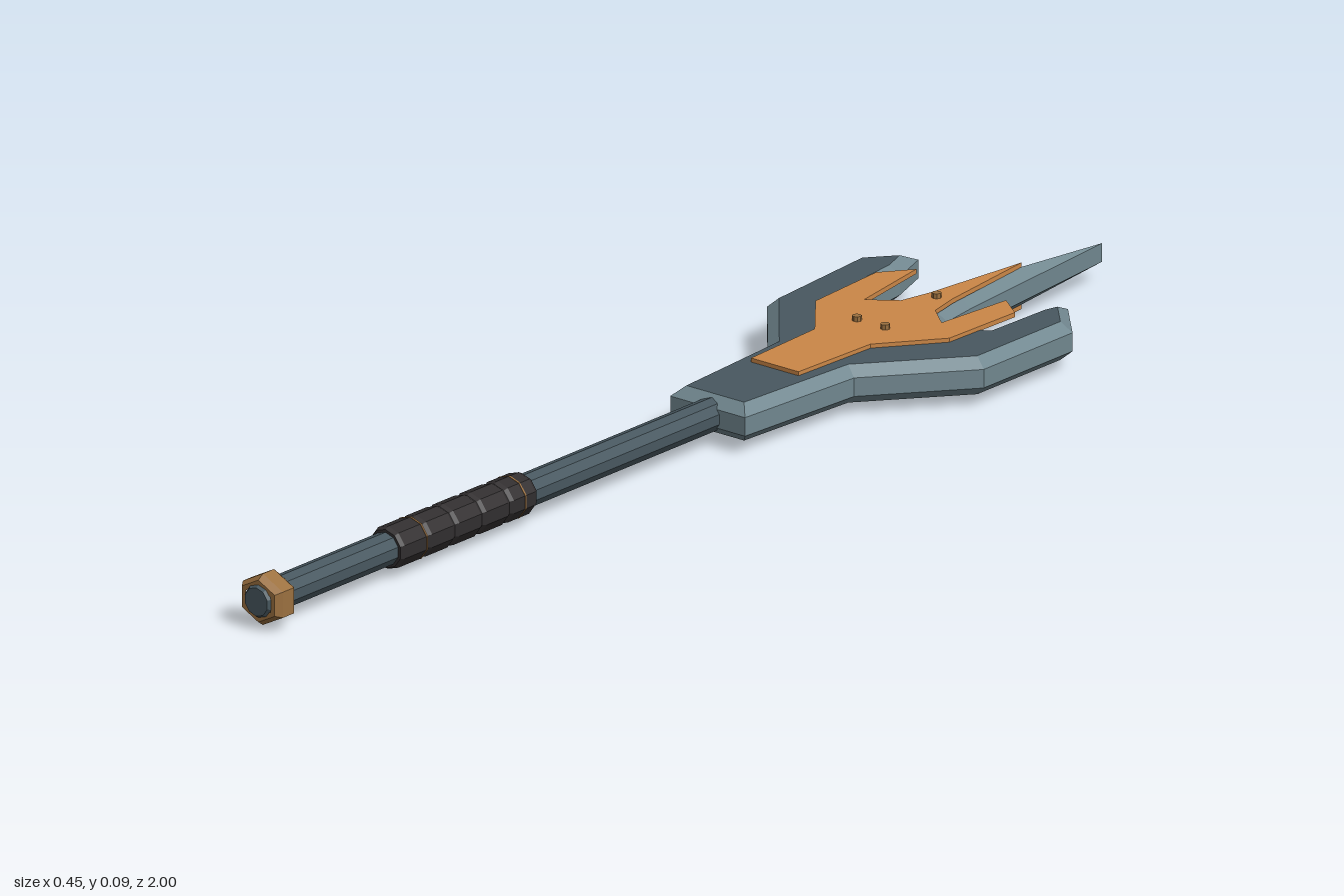
import * as THREE from 'three';

const CX = 0.004, CY = 0.047; // shaft axis

const material = (name, color) => {
  const m = new THREE.MeshStandardMaterial({ color });
  m.name = name;
  return m;
};

// Faceted copy of a geometry
function flat(geometry) {
  const g = geometry.index ? geometry.toNonIndexed() : geometry;
  g.computeVertexNormals();
  return g;
}

// Move every edge of a counter-clockwise outline inwards by d, with full mitres
function inset(points, d) {
  const n = points.length;
  return points.map((p, i) => {
    const a = p.clone().sub(points[(i + n - 1) % n]).normalize();
    const b = points[(i + 1) % n].clone().sub(p).normalize();
    const na = new THREE.Vector2(-a.y, a.x), nb = new THREE.Vector2(-b.y, b.x);
    return na.clone().add(nb).multiplyScalar(d / (1 + na.dot(nb))).add(p);
  });
}

// Outlines are (x, -z), counter-clockwise seen from above
const outline = (pairs) => pairs.map(([x, w]) => new THREE.Vector2(x, w));

const headOutline = outline([
  [-0.068, 0.065], [0.08, 0.065], [0.095, 0.305], [0.222, 0.46], [0.222, 0.67], [0.15, 0.745],
  [0.135, 0.69], [0.132, 0.575], [0.085, 0.545], [0.045, 0.585], [0.036, 0.65], [0.004, 1],
  [-0.028, 0.65], [-0.038, 0.585], [-0.075, 0.55], [-0.125, 0.58], [-0.137, 0.69], [-0.163, 0.765],
  [-0.225, 0.69], [-0.207, 0.46], [-0.085, 0.315],
]);

const plateOutline = outline([
  [-0.042, 0.225], [0.052, 0.225], [0.058, 0.388], [0.133, 0.485], [0.137, 0.635], [0.092, 0.668],
  [0.08, 0.53], [0.038, 0.565], [0.026, 0.62], [0.004, 0.81], [-0.018, 0.62], [-0.03, 0.565],
  [-0.075, 0.532], [-0.1, 0.685], [-0.138, 0.635], [-0.128, 0.48], [-0.05, 0.385],
]);

function fromTriangles(positions) {
  const g = new THREE.BufferGeometry();
  g.setAttribute('position', new THREE.Float32BufferAttribute(positions, 3));
  g.computeVertexNormals();
  return g;
}

// Flat faces of the head, above and below
function headFaces(points, yLow, yHigh) {
  const pos = [];
  for (const [a, b, c] of THREE.ShapeUtils.triangulateShape(points, [])) {
    for (const i of [a, b, c]) pos.push(points[i].x, yHigh, -points[i].y);
    for (const i of [a, c, b]) pos.push(points[i].x, yLow, -points[i].y);
  }
  return fromTriangles(pos);
}

// Bands joining stacked outlines, listed from the bottom up
function headEdges(rings) {
  const pos = [];
  for (let r = 0; r < rings.length - 1; r++) {
    const [low, yl] = rings[r], [high, yh] = rings[r + 1], n = low.length;
    for (let i = 0; i < n; i++) {
      const j = (i + 1) % n;
      const a = [low[i].x, yl, -low[i].y], b = [low[j].x, yl, -low[j].y];
      const c = [high[j].x, yh, -high[j].y], d = [high[i].x, yh, -high[i].y];
      pos.push(...a, ...b, ...c, ...a, ...c, ...d);
    }
  }
  return fromTriangles(pos);
}

export function createModel() {
  const model = new THREE.Group();
  const steel = material('dark steel', 0x485860);
  const edge = material('light steel edge', 0x71878f);
  const copper = material('copper plate', 0xcb8747);
  const brass = material('brass', 0x9c7140);
  const wrap = material('black wrap', 0x312e2f);

  const add = (name, geometry, mat) => {
    const mesh = new THREE.Mesh(geometry, mat);
    mesh.name = name;
    model.add(mesh);
    return mesh;
  };
  // Turned parts lie along z on the shaft axis; profile is (radius, z)
  const turned = (name, profile, sides, mat) => {
    const g = new THREE.LatheGeometry(profile.map(([r, z]) => new THREE.Vector2(r, z)), sides);
    const mesh = add(name, flat(g.rotateX(Math.PI / 2)), mat);
    mesh.position.set(CX, CY, 0);
    return mesh;
  };

  // Shaft and pommel nut
  turned('shaft', [[0, -0.1], [0.0265, -0.1], [0.0265, 0.995], [0.023, 1], [0, 1]], 10, steel);
  const nut = turned('pommelNut',
    [[0.025, 0.948], [0.033, 0.948], [0.0415, 0.958], [0.0415, 0.984], [0.034, 0.995], [0.025, 0.995]], 6, brass);
  nut.scale.x = 1.1;

  // Ribbed grip with two thin rings
  const ribs = 5, start = 0.372, step = 0.0645, grip = [[0.025, start]];
  for (let i = 0; i < ribs; i++) {
    const z = start + i * step;
    grip.push([0.031, z], [0.0345, z + 0.007], [0.0345, z + step - 0.007], [0.031, z + step]);
  }
  grip.push([0.025, start + ribs * step]);
  turned('grip', grip, 10, wrap);
  for (const z of [0.402, 0.635]) {
    turned('gripRing', [[0.03, z - 0.0015], [0.0352, z - 0.0015], [0.0352, z + 0.0015], [0.03, z + 0.0015]], 10, brass);
  }

  // Three-pronged head with bevelled edges
  const face = inset(headOutline, 0.018);
  add('headFaces', headFaces(face, 0.016, 0.078), steel);
  add('headEdges', headEdges([[face, 0.016], [headOutline, 0.032], [headOutline, 0.062], [face, 0.078]]), edge);

  // Copper plates and bolts on both faces
  const plate = new THREE.ExtrudeGeometry(new THREE.Shape(plateOutline), { depth: 0.0075, bevelEnabled: false });
  plate.rotateX(-Math.PI / 2);
  const bolt = flat(new THREE.CylinderGeometry(0.0075, 0.0075, 0.014, 8));
  for (const [side, plateY, boltY] of [['upper', 0.077, 0.0855], ['lower', 0.0095, 0.007]]) {
    add(side + 'Plate', plate, copper).position.y = plateY;
    for (const [x, z] of [[-0.025, -0.455], [0.031, -0.455], [0.003, -0.61]]) {
      add(side + 'Bolt', bolt, brass).position.set(x, boltY, z);
    }
  }
  return model;
}
